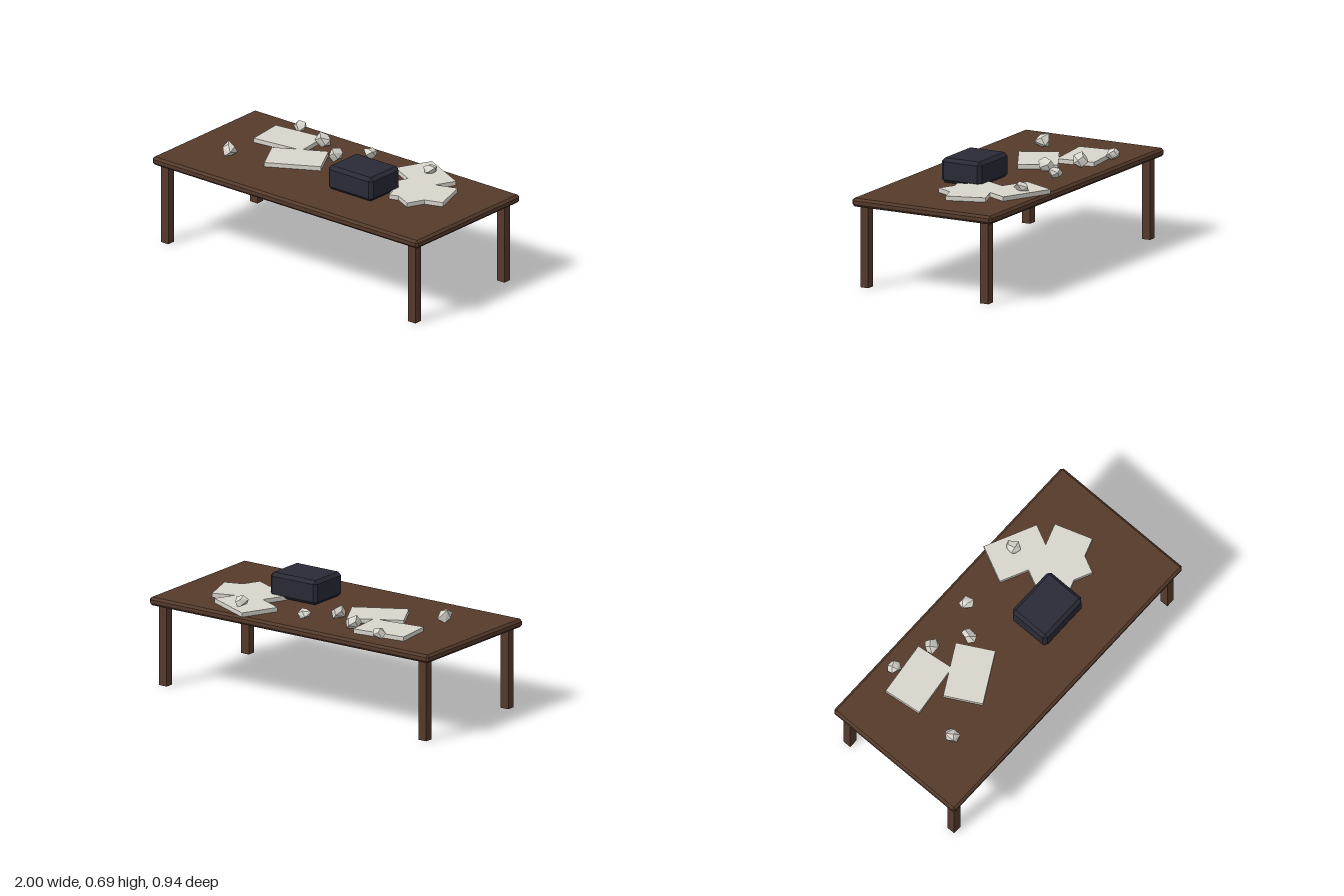
import * as THREE from 'three';
import { ConvexGeometry } from 'three/addons/geometries/ConvexGeometry.js';

const wood = new THREE.MeshStandardMaterial({ name: 'brown wood', color: 0x553a2b });
const black = new THREE.MeshStandardMaterial({ name: 'dark casing', color: 0x292a36 });
const paper = new THREE.MeshStandardMaterial({ name: 'off-white paper', color: 0xd8d5cc });

// Box with every edge chamfered by c
function chamferBox(w, h, d, c) {
  const pts = [];
  for (const x of [-1, 1]) for (const y of [-1, 1]) for (const z of [-1, 1]) {
    for (let a = 0; a < 3; a++) {
      pts.push(new THREE.Vector3(
        x * (w / 2 - (a === 0 ? 0 : c)),
        y * (h / 2 - (a === 1 ? 0 : c)),
        z * (d / 2 - (a === 2 ? 0 : c))));
    }
  }
  return new ConvexGeometry(pts);
}

function seeded(seed) {
  let s = seed * 7919 + 17;
  return () => (s = (s * 16807) % 2147483647) / 2147483647;
}

// Faceted irregular lump filling the given bounds
function lump(seed, [x0, x1, y0, y1, z0, z1]) {
  const rnd = seeded(seed);
  for (let i = 0; i < 5; i++) rnd();
  const pts = [];
  const turn = rnd() * 6;
  for (let i = 0; i < 11; i++) {
    const y = 1 - (2 * (i + 0.5)) / 11;
    const a = turn + i * 2.4;
    const r = 0.75 + 0.45 * rnd();
    const k = Math.sqrt(1 - y * y);
    pts.push(new THREE.Vector3(Math.cos(a) * k * r, y * r, Math.sin(a) * k * r));
  }
  const size = new THREE.Box3().setFromPoints(pts);
  const lo = new THREE.Vector3(x0, y0, z0), hi = new THREE.Vector3(x1, y1, z1);
  const scale = hi.sub(lo).divide(size.getSize(new THREE.Vector3()));
  pts.forEach((p) => p.sub(size.min).multiply(scale).add(lo));
  return new ConvexGeometry(pts);
}

export function createModel() {
  const group = new THREE.Group();
  const add = (name, geometry, material, x = 0, y = 0, z = 0, turn = 0) => {
    const mesh = new THREE.Mesh(geometry, material);
    mesh.name = name;
    mesh.position.set(x, y, z);
    mesh.rotation.y = turn;
    group.add(mesh);
  };

  // Table
  add('tableTop', chamferBox(2, 0.05, 0.932, 0.014), wood, 0, 0.508, 0);
  for (const x of [-0.93, 0.93]) {
    for (const z of [-0.397, 0.404]) {
      add(z > 0 ? 'frontLeg' : 'backLeg', new THREE.BoxGeometry(0.055, 0.486, 0.053), wood, x, 0.243, z);
    }
  }

  // Case resting on the table
  add('case', chamferBox(0.334, 0.147, 0.266, 0.02), black, 0.265, 0.6135, 0.068);

  // Paper stacks: centre x, centre z, direction of the long edge (x, z)
  const stacks = [
    [-0.535, -0.215, 0.33, -0.04],
    [-0.315, -0.02, 0.29, -0.16],
    [0.426, -0.297, 0.30, 0.142],
    [0.58, -0.092, 0.31, -0.105],
    [0.52, -0.075, 0.30, 0.142],
  ];
  for (const [x, z, dx, dz] of stacks) {
    add('paperStack', new THREE.BoxGeometry(0.333, 0.026, 0.235), paper, x, 0.546, z, Math.atan2(-dz, dx));
  }

  // Crumpled paper balls
  const balls = [
    [-0.615, -0.535, 0.533, 0.605, -0.405, -0.33],
    [-0.375, -0.29, 0.533, 0.622, -0.34, -0.25],
    [-0.18, -0.11, 0.533, 0.615, -0.22, -0.12],
    [-0.05, 0.035, 0.54, 0.602, -0.35, -0.27],
    [0.39, 0.47, 0.55, 0.61, -0.385, -0.295],
    [-0.71, -0.635, 0.533, 0.61, 0.115, 0.2],
  ];
  balls.forEach((b, i) => add('crumpledPaper', lump(i + 3, b), paper));

  return group;
}
